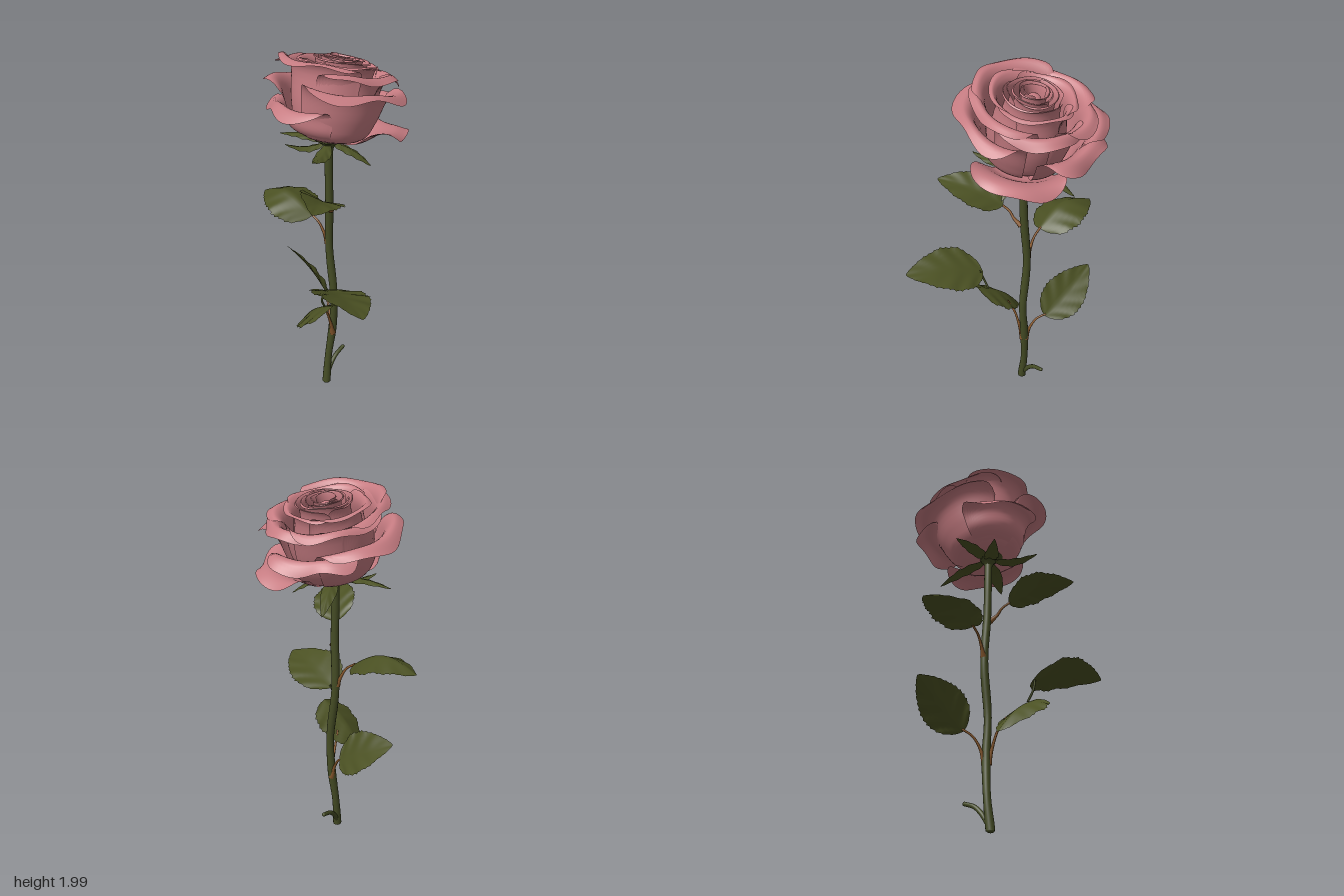
import * as THREE from 'three';

const V = (p) => new THREE.Vector3(...p);
const mat = (name, color) => {
  const m = new THREE.MeshStandardMaterial({ color, side: THREE.DoubleSide });
  m.name = name;
  return m;
};

// Smooth sheet from fn(u, v), u in -1..1 and v in 0..1
function sheet(nu, nv, fn) {
  const pos = [], idx = [];
  for (let j = 0; j <= nv; j++)
    for (let i = 0; i <= nu; i++) pos.push(...fn((i / nu) * 2 - 1, j / nv));
  for (let j = 0; j < nv; j++)
    for (let i = 0; i < nu; i++) {
      const a = j * (nu + 1) + i, b = a + nu + 1;
      idx.push(a, b, a + 1, a + 1, b, b + 1);
    }
  const g = new THREE.BufferGeometry();
  g.setAttribute('position', new THREE.Float32BufferAttribute(pos, 3));
  g.setIndex(idx);
  g.computeVertexNormals();
  return g;
}

// Tube through points whose radius follows rule(t)
function taperedTube(points, rule, segs = 24, sides = 12) {
  const curve = new THREE.CatmullRomCurve3(points.map(V));
  const g = new THREE.TubeGeometry(curve, segs, 1, sides);
  const p = g.attributes.position, v = new THREE.Vector3();
  for (let i = 0; i < p.count; i++) {
    const t = Math.floor(i / (sides + 1)) / segs;
    const c = curve.getPointAt(t);
    v.fromBufferAttribute(p, i).sub(c).multiplyScalar(rule(t)).add(c);
    p.setXYZ(i, v.x, v.y, v.z);
  }
  return g;
}

// Ovate blade from base to tip; toothed edge, folded or drooping halves, rippled veins
function blade({ base, tip, side, width, bend = 0.03, fold = 0.15, teeth = 13, ripple = 0.005 }) {
  const b = V(base), axis = V(tip).sub(b), dir = axis.clone().normalize();
  const s = V(side).addScaledVector(dir, -V(side).dot(dir)).normalize();
  const n = s.clone().cross(dir);
  if (n.y < 0) n.negate();
  return sheet(12, teeth ? teeth * 4 : 20, (u, t) => {
    const body = Math.pow(Math.max(0, Math.sin(Math.PI * Math.pow(t, 0.78))), 0.75) * (1.08 - 0.2 * t);
    const saw = teeth ? 0.11 * Math.pow((t * teeth) % 1, 2) * Math.pow(Math.abs(u), 8) : 0;
    const w = (width / 2) * body * (1 + saw);
    const h = bend * Math.sin(Math.PI * t) + fold * Math.abs(u) * w
      + ripple * Math.abs(u) * body * Math.sin((t * 4 - Math.abs(u) * 0.9) * Math.PI * 2);
    const p = b.clone().addScaledVector(axis, t).addScaledVector(s, u * w).addScaledVector(n, h);
    return [p.x, p.y, p.z];
  });
}

// Cupped petal: rounded sector of a turned profile with a rolled, wavy lip
function petal([az, half, belly, neck, h, lip, drop], wave, seed) {
  const P = (x, y) => new THREE.Vector2(x, y);
  const profile = new THREE.SplineCurve([
    P(0.02, 0), P(belly * 0.75, Math.min(0.04, h * 0.22)), P(belly, h * 0.45),
    P(neck, h * 0.86), P((neck + lip) / 2, h), P(lip, h - drop),
  ]);
  const a0 = THREE.MathUtils.degToRad(az), a1 = THREE.MathUtils.degToRad(half);
  return sheet(36, 22, (u, v) => {
    const p = profile.getPoint(v * (1 - 0.4 * Math.pow(Math.abs(u), 5)));
    const edge = Math.pow(v, 5);
    const r = p.x * (1 + 0.03 * u) + edge * wave * Math.sin(u * 5.5 + seed * 2.3);
    const y = p.y + edge * wave * Math.sin(u * 7 + seed * 1.7);
    const a = a0 + a1 * u;
    return [r * Math.cos(a), y, r * Math.sin(a)];
  });
}

export function createModel() {
  const pink = mat('petal pink', 0xc67c82);
  const green = mat('leaf green', 0x4b5123);
  const stemGreen = mat('stem green', 0x444b24);
  const brown = mat('stalk brown', 0x8a5a2e);

  const model = new THREE.Group();
  model.name = 'rose';
  const add = (parent, name, geo, m) => {
    const mesh = new THREE.Mesh(geo, m);
    mesh.name = name;
    parent.add(mesh);
    return mesh;
  };

  // Main stem and the cut side shoot
  add(model, 'stem', taperedTube([
    [-0.02, 0.012, -0.03], [0.0, 0.18, -0.032], [0.02, 0.4, -0.015], [0.018, 0.6, -0.005],
    [0.016, 0.9, -0.036], [0.005, 1.18, -0.025], [0, 1.4, -0.024], [0, 1.55, -0.02],
  ], (t) => 0.022 + 0.002 * Math.cos(t * 26) * (1 - t), 60), stemGreen);
  const foot = add(model, 'stemEnd', new THREE.SphereGeometry(0.0215, 14, 10), stemGreen);
  foot.position.set(-0.02, 0.012, -0.03);
  foot.scale.y = 0.55;
  add(model, 'sideShoot', taperedTube([
    [-0.005, 0.05, -0.034], [0.03, 0.1, -0.038], [0.075, 0.14, -0.04], [0.14, 0.165, -0.04],
  ], (t) => 0.014 - 0.003 * t), stemGreen);
  add(model, 'sideShootEnd', new THREE.SphereGeometry(0.0112, 10, 8), stemGreen)
    .position.set(0.14, 0.165, -0.04);

  // Leaf stalks, swollen where they leave the stem
  const stalks = [
    [[0.0, 1.15, -0.01], [-0.04, 1.18, 0.005], [-0.07, 1.215, 0.01], [-0.11, 1.245, 0.03]],
    [[0.013, 0.93, -0.045], [0.01, 0.98, -0.065], [0.005, 1.04, -0.1], [0, 1.075, -0.15]],
    [[0.012, 0.35, -0.008], [-0.01, 0.43, -0.005], [-0.045, 0.52, 0.0], [-0.09, 0.585, 0.015]],
    [[0.025, 0.35, -0.02], [0.035, 0.43, -0.045], [0.055, 0.49, -0.08], [0.09, 0.525, -0.12]],
  ];
  stalks.forEach((pts, i) => add(model, `leafStalk${i + 1}`,
    taperedTube(pts, (t) => 0.006 + 0.013 * Math.exp(-t * 5), 24, 8), brown));
  // Green link from the lower right leaf to the leaf beyond it
  add(model, 'leafLink', taperedTube([[-0.17, 0.67, 0.09], [-0.2, 0.73, 0.1], [-0.19, 0.8, 0.13]],
    () => 0.006, 12, 8), stemGreen);

  // Leaves
  const leaves = {
    upperRightLeaf: { base: [-0.1, 1.245, 0.03], tip: [-0.4, 1.35, 0.225], side: [0.55, -0.3, 0.83], width: 0.225 },
    upperBackLeaf: { base: [0, 1.07, -0.14], tip: [0.01, 1.105, -0.51], side: [1, 0.1, 0], width: 0.3, bend: 0.075, fold: -0.38 },
    lowerFrontLeaf: { base: [-0.19, 0.79, 0.11], tip: [-0.36, 0.87, 0.505], side: [-0.9, 0.28, -0.4], width: 0.295, fold: 0.08 },
    lowerRightLeaf: { base: [-0.18, 0.705, 0.16], tip: [-0.14, 0.465, -0.11], side: [1, -0.12, -0.1], width: 0.285, bend: 0.03, fold: -0.3 },
    lowerBackLeaf: { base: [0.09, 0.515, -0.11], tip: [0.1, 0.725, -0.44], side: [0.16, -0.14, -0.09], width: 0.235, bend: 0.02 },
  };
  for (const [name, spec] of Object.entries(leaves)) add(model, name, blade(spec), green);

  // Flower base and drooping sepals
  const cup = [[0.02, 1.49], [0.032, 1.515], [0.055, 1.535], [0.08, 1.55]].map((p) => new THREE.Vector2(...p));
  add(model, 'flowerBase', new THREE.LatheGeometry(cup, 20), stemGreen).position.z = -0.02;
  const sepals = [[-0.255, 1.53, 0.1], [0.08, 1.43, 0.19], [0.275, 1.42, -0.12], [-0.04, 1.51, -0.33], [-0.17, 1.53, -0.17]];
  sepals.forEach((tip, i) => {
    const a = Math.atan2(tip[2] + 0.02, tip[0]);
    add(model, `sepal${i + 1}`, blade({
      base: [0.02 * Math.cos(a), 1.53, -0.02 + 0.02 * Math.sin(a)], tip,
      side: [-Math.sin(a), 0, Math.cos(a)], width: 0.08, bend: i % 4 ? 0.02 : -0.02, fold: -0.35, teeth: 0, ripple: 0.003,
    }), green);
  });

  // Flower head, tilted towards its left
  const flower = new THREE.Group();
  flower.name = 'flower';
  flower.position.set(0, 1.53, -0.02);
  flower.rotation.z = -0.2;
  model.add(flower);

  // Each row: direction, half spread (degrees), belly, neck, height, lip radius, lip drop
  const rings = {
    outerPetal: [0.016, [
      [46, 52, 0.2, 0.26, 0.11, 0.38, 0.02], [-16, 48, 0.225, 0.265, 0.25, 0.38, 0.045],
      [-82, 64, 0.23, 0.275, 0.29, 0.385, 0.04], [198, 58, 0.22, 0.245, 0.18, 0.335, 0.045],
      [112, 68, 0.225, 0.265, 0.3, 0.36, 0.03],
    ]],
    middlePetal: [0.012, [
      [180, 68, 0.21, 0.23, 0.41, 0.315, 0.015], [250, 62, 0.21, 0.225, 0.39, 0.305, 0.02],
      [-45, 62, 0.21, 0.23, 0.37, 0.31, 0.025], [28, 60, 0.2, 0.22, 0.36, 0.31, 0.035],
      [100, 68, 0.2, 0.215, 0.375, 0.295, 0.025],
    ]],
    upperPetal: [0.008, [
      [150, 85, 0.185, 0.17, 0.405, 0.22, 0.004], [272, 85, 0.18, 0.165, 0.4, 0.215, 0.006],
      [32, 85, 0.175, 0.16, 0.395, 0.205, 0.006],
    ]],
    heartPetal: [0.004, Array.from({ length: 7 }, (_, i) => {
      const r = 0.132 - 0.0148 * i;
      return [70 + 137.5 * i, 115 + 6 * i, r * 1.15, r, 0.412 + 0.003 * i, r * 1.08 + 0.009, 0.001];
    })],
  };
  let seed = 1;
  for (const [name, [wave, rows]] of Object.entries(rings))
    rows.forEach((row, i) => add(flower, `${name}${i + 1}`, petal(row, wave, seed++), pink));

  // Closed bud in the middle
  const bud = add(flower, 'bud', new THREE.SphereGeometry(0.036, 16, 12), pink);
  bud.position.y = 0.385;
  bud.scale.y = 0.7;
  return model;
}
